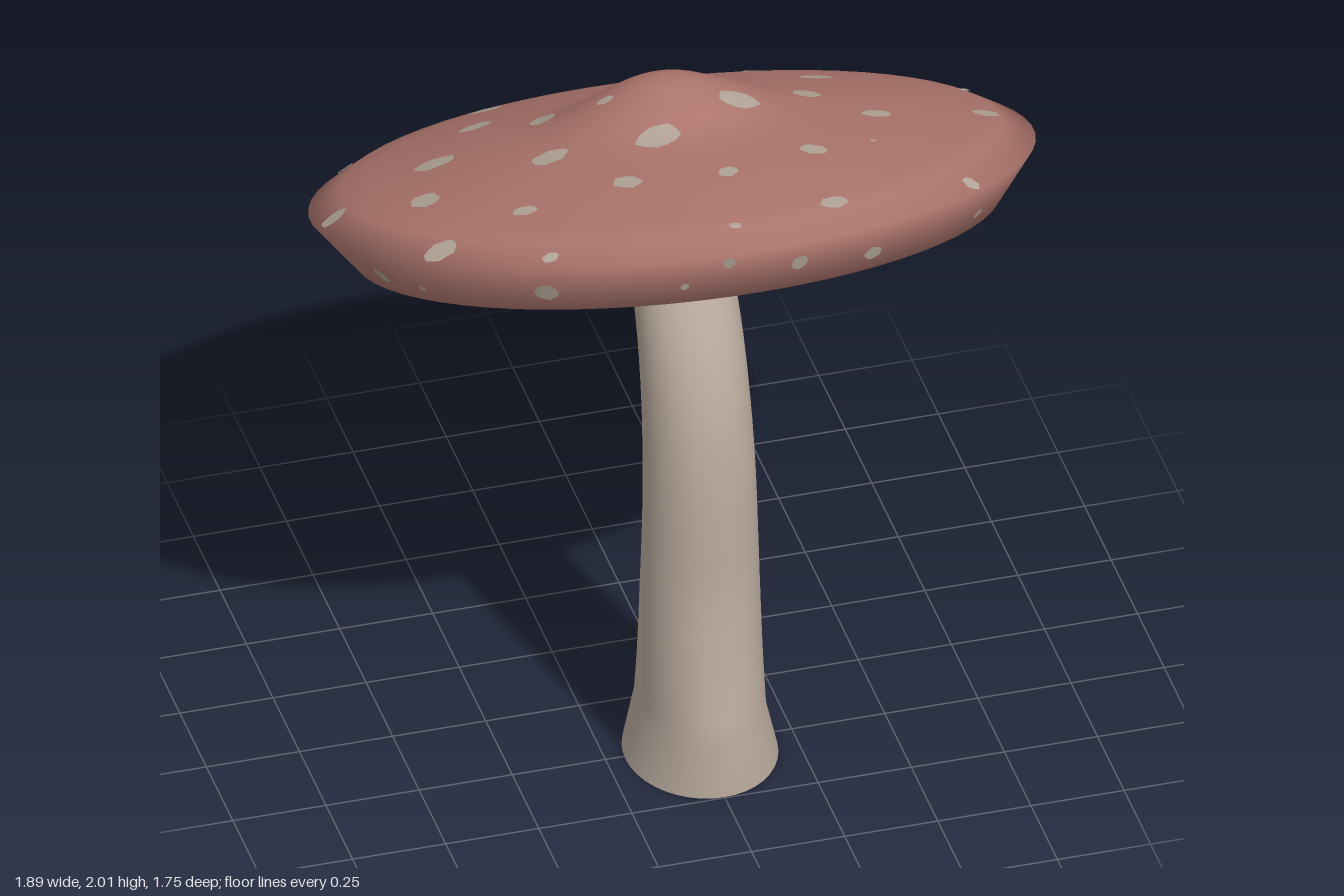
import * as THREE from 'three';

const mat = (name, color, side = THREE.FrontSide) => {
  const m = new THREE.MeshStandardMaterial({ color, side });
  m.name = name;
  return m;
};
const V = (x, y) => new THREE.Vector2(x, y);
const TILT = -0.388;          // cap leans down towards the back
const CAP_Y = 1.63;
const SEGMENTS = 64;

// Underside half-profile, from the stem out to the inner edge of the lip
const gills = [
  V(0.1, -0.25), V(0.14, -0.237), V(0.21, -0.192), V(0.3, -0.137), V(0.38, -0.1),
  V(0.48, -0.075), V(0.62, -0.062), V(0.74, -0.062), V(0.79, -0.078),
];
// Cap half-profile: outer lip, widest rim, then over the top to the centre
const crown = new THREE.SplineCurve([
  V(0.86, 0.05), V(0.57, 0.113), V(0.33, 0.158), V(0.2, 0.212), V(0.1, 0.254), V(0.045, 0.268), V(0, 0.273),
]).getPoints(18);
crown[crown.length - 1].x = 0;
const profile = [V(0.84, -0.135), V(0.945, 0), ...crown];
const lengths = [0];
for (let i = 1; i < profile.length; i++) lengths.push(lengths[i - 1] + profile[i].distanceTo(profile[i - 1]));

// Point on the profile at arc length s, pushed out by lift
function profileAt(s, lift) {
  let i = 1;
  while (i < profile.length - 1 && lengths[i] < s) i++;
  const a = profile[i - 1], b = profile[i];
  const p = a.clone().lerp(b, (s - lengths[i - 1]) / (lengths[i] - lengths[i - 1]));
  const d = b.clone().sub(a).normalize();
  return V(p.x + d.y * lift, p.y - d.x * lift);
}

// Arc length of the crown at radius r
function lengthAtRadius(r) {
  let i = 2;
  while (i < profile.length - 1 && profile[i].x > r) i++;
  const t = (r - profile[i - 1].x) / (profile[i].x - profile[i - 1].x);
  return lengths[i - 1] + t * (lengths[i] - lengths[i - 1]);
}

// Thin irregular patch draped over the cap
function spot(s, theta, size, seed, material) {
  const g = new THREE.RingGeometry(0.001, 1, 12, 3);
  const p = g.attributes.position;
  const rMid = profileAt(s, 0).x;
  for (let i = 0; i < p.count; i++) {
    const x = p.getX(i), y = p.getY(i), phi = Math.atan2(y, x);
    const k = size * (1 + 0.12 * Math.sin(2 * phi + seed * 1.7) + 0.07 * Math.sin(5 * phi + seed));
    const q = profileAt(Math.max(0.003, s + y * k), 0.005);
    const a = theta + (x * k) / rMid;
    p.setXYZ(i, q.x * Math.sin(a), q.y, q.x * Math.cos(a));
  }
  g.computeVertexNormals();
  const m = new THREE.Mesh(g, material);
  m.name = 'capSpot';
  return m;
}

// One smooth turned surface; each segment is split into gills and cap colours
function capGeometry() {
  const points = [...gills, ...profile];
  const g = new THREE.LatheGeometry(points, SEGMENTS);
  const perSegment = (points.length - 1) * 6, under = (gills.length - 1) * 6;
  for (let i = 0; i < SEGMENTS; i++) {
    g.addGroup(i * perSegment, under, 0);
    g.addGroup(i * perSegment + under, perSegment - under, 1);
  }
  return g;
}

// Bent open stem lofted through tilted ovals: front z, y, back z, y, half width
function stemGeometry() {
  const foot = [0.497, 0, 0.03, 0, 0.2];
  const upper = [
    [0.49, 0.15, 0.038, 0.15, 0.166], [0.453, 0.33, 0.073, 0.3, 0.16],
    [0.418, 0.55, 0.107, 0.52, 0.155], [0.41, 0.72, 0.117, 0.71, 0.15], [0.4, 0.9, 0.11, 0.88, 0.146],
    [0.367, 1.1, 0.083, 1.05, 0.141], [0.3, 1.28, 0.04, 1.21, 0.137], [0.2, 1.45, -0.03, 1.355, 0.132],
  ];
  const smooth = (pick) => new THREE.CatmullRomCurve3(upper.map(pick)).getPoints(21);
  const front = smooth(([z, y, , , w]) => new THREE.Vector3(w, y, z));
  const back = smooth(([, , z, y, w]) => new THREE.Vector3(w, y, z));
  const rings = [foot, ...front.map((f, i) => [f.z, f.y, back[i].z, back[i].y, f.x])];
  const N = 40, pos = [], idx = [];
  rings.forEach(([zf, yf, zb, yb, w], j) => {
    for (let i = 0; i < N; i++) {
      const a = (i / N) * Math.PI * 2, c = Math.cos(a) / 2;
      pos.push(w * Math.sin(a), (yf + yb) / 2 + (yf - yb) * c, (zf + zb) / 2 + (zf - zb) * c);
      if (j === 0) continue;
      const n = (i + 1) % N, lo = (j - 1) * N, hi = j * N;
      idx.push(lo + i, lo + n, hi + n, lo + i, hi + n, hi + i);
    }
  });
  const g = new THREE.BufferGeometry();
  g.setAttribute('position', new THREE.Float32BufferAttribute(pos, 3));
  g.setIndex(idx);
  g.computeVertexNormals();
  return g;
}

export function createModel() {
  const red = mat('capRed', 0xb37a71);
  const beige = mat('stemBeige', 0xb8a99c, THREE.DoubleSide);
  const grey = mat('gillBeige', 0xb5a89c);
  const pale = mat('spotPale', 0xb8aa9c);
  const model = new THREE.Group();
  const add = (parent, name, geo, material) => {
    const m = new THREE.Mesh(geo, material);
    m.name = name;
    parent.add(m);
  };

  // Stem
  add(model, 'stem', stemGeometry(), beige);

  // Cap with gills underneath
  const cap = new THREE.Group();
  cap.name = 'cap';
  cap.position.y = CAP_Y;
  cap.rotation.x = TILT;
  model.add(cap);
  add(cap, 'capAndGills', capGeometry(), [grey, red]);

  // Crown spots: x, z as seen from straight above, radius
  const crownSpots = [
    [-0.31, -0.66, 0.045], [0.14, -0.7, 0.046], [0.38, -0.6, 0.027], [0, -0.5, 0.028], [-0.75, -0.44, 0.027],
    [-0.42, -0.38, 0.043], [0.21, -0.35, 0.036], [0.48, -0.33, 0.041], [-0.29, -0.195, 0.04], [0.1, -0.2, 0.027],
    [-0.6, -0.125, 0.05], [-0.16, -0.06, 0.022], [0.38, -0.07, 0.04], [0.16, 0.06, 0.05], [-0.36, 0.12, 0.047],
    [-0.09, 0.19, 0.054], [-0.7, 0.135, 0.043], [0.51, 0.135, 0.035], [0.81, 0.11, 0.033], [-0.51, 0.41, 0.03],
    [-0.235, 0.405, 0.037], [0.27, 0.385, 0.034], [0.02, 0.46, 0.028], [0.23, 0.72, 0.035], [0.83, -0.17, 0.018],
    [-0.9, -0.02, 0.035], [-0.75, 0.46, 0.042], [0.69, -0.545, 0.033], [0.32, -0.8, 0.032], [0.625, 0.62, 0.024],
    [-0.52, 0.685, 0.02], [-0.05, 0.77, 0.015], [0.44, 0.35, 0.008],
  ];
  crownSpots.forEach(([x, z, size], i) => {
    let t = z, r = 0;
    for (let k = 0; k < 8; k++) {
      r = Math.min(0.935, Math.hypot(x, t));
      t = (z - profileAt(lengthAtRadius(r), 0).y * Math.sin(TILT)) / Math.cos(TILT);
    }
    cap.add(spot(lengthAtRadius(r), Math.atan2(x, t), size, i, pale));
  });

  // Rim spots: angle from the front, height along the rim, radius
  const rimSpots = [
    [0.11, 0.1, 0.024], [-0.64, 0.08, 0.032], [0.36, 0.07, 0.025], [-1.28, 0.08, 0.024], [-0.23, 0.07, 0.012],
    [0.83, 0.07, 0.016], [1.16, 0.125, 0.024], [-0.1, 0.145, 0.018], [-1.1, 0.06, 0.012], [2.03, 0.08, 0.026],
    [2.54, 0.12, 0.02], [-2.0, 0.09, 0.026], [-2.6, 0.08, 0.024], [2.95, 0.06, 0.022],
  ];
  rimSpots.forEach(([a, s, size], i) => cap.add(spot(s, a, size, i + 40, pale)));

  return model;
}
